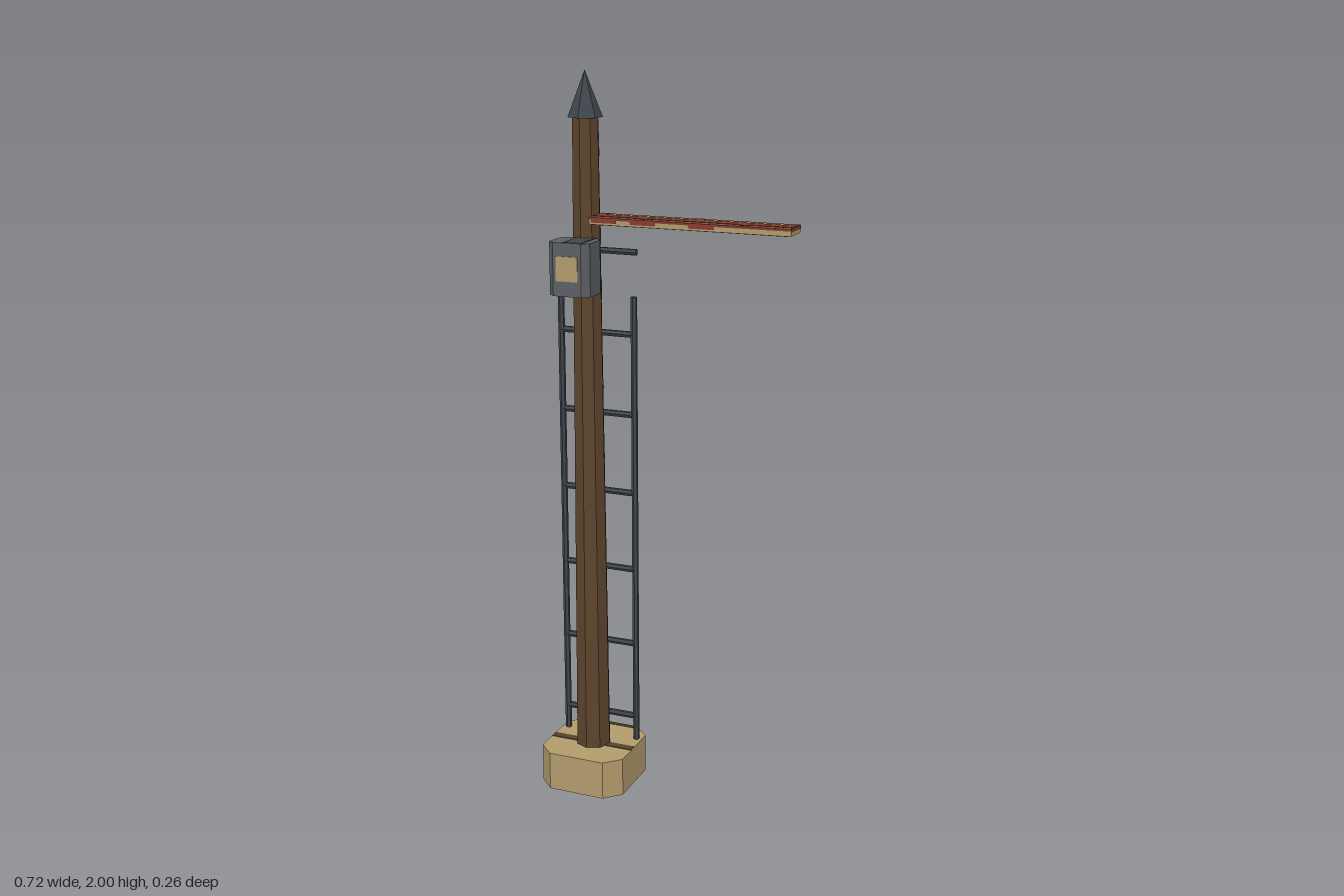
import * as THREE from 'three';

const mat = (name, color, extra = {}) => Object.assign(new THREE.MeshStandardMaterial({ color, ...extra }), { name });

export function createModel() {
  const group = new THREE.Group();
  const tan = mat('tan stone', 0xb39c6c);
  const wood = mat('brown wood', 0x5c442d, { flatShading: true });
  const darkWood = mat('dark wood', 0x54432f);
  const iron = mat('dark iron', 0x3f464c, { flatShading: true });
  const grey = mat('grey metal', 0x5c6064);
  const red = mat('red paint', 0x873a2e);

  const add = (name, geometry, material, x, y, z, parent = group) => {
    const m = new THREE.Mesh(geometry, material);
    m.name = name;
    m.position.set(x, y, z);
    parent.add(m);
    return m;
  };
  const box = (name, material, x0, x1, y0, y1, z0, z1, parent) =>
    add(name, new THREE.BoxGeometry(x1 - x0, y1 - y0, z1 - z0), material,
      (x0 + x1) / 2, (y0 + y1) / 2, (z0 + z1) / 2, parent);

  // Upright block with cut corners
  const block = (w, d, h, c) => {
    const a = w / 2, b = d / 2;
    const s = new THREE.Shape([
      [-a + c, -b], [a - c, -b], [a, -b + c], [a, b - c],
      [a - c, b], [-a + c, b], [-a, b - c], [-a, -b + c],
    ].map(p => new THREE.Vector2(...p)));
    return new THREE.ExtrudeGeometry(s, { depth: h, bevelEnabled: false }).rotateX(-Math.PI / 2);
  };

  const PX = -0.235, Y0 = 0.11, Y1 = 1.88, R0 = 0.05, R1 = 0.036;

  // Footing with its top seams
  add('footing', block(0.25, 0.25, 0.11, 0.043), tan, PX, 0, -0.004);
  box('footingSeam', darkWood, -0.359, -0.111, 0.109, 0.112, -0.005, 0.018);
  box('footingBackSeam', darkWood, -0.316, -0.154, 0.109, 0.112, -0.129, -0.118);

  // Tapered post and pointed cap
  add('post', new THREE.CylinderGeometry(R1, R0, Y1 - Y0, 8), wood, PX, (Y0 + Y1) / 2, 0);
  add('cap', new THREE.ConeGeometry(0.046, 0.12, 6), iron, PX, 1.94, 0);

  // Worn grey patches on the back: height, size, first facet, facet count
  const radius = y => THREE.MathUtils.lerp(R0, R1, (y - Y0) / (Y1 - Y0)) + 0.0012;
  const patches = [
    [1.81, 0.06, 2, 1], [1.74, 0.05, 4, 2], [1.66, 0.05, 3, 1], [1.57, 0.04, 2, 1],
    [1.43, 0.06, 2, 1], [1.49, 0.05, 4, 1], [1.30, 0.04, 3, 1], [1.18, 0.045, 4, 2],
    [1.17, 0.03, 2, 2], [0.95, 0.04, 4, 2], [0.96, 0.03, 2, 1], [0.78, 0.04, 3, 1],
    [0.36, 0.025, 4, 1],
  ];
  for (const [y, h, k, n] of patches) {
    add('wornPatch', new THREE.CylinderGeometry(radius(y + h / 2), radius(y - h / 2), h, n, 1, true,
      k * Math.PI / 4, n * Math.PI / 4), grey, PX, y, 0);
  }

  // Ladder behind the post
  const ladder = new THREE.Group();
  ladder.name = 'ladder';
  group.add(ladder);
  for (const s of [-1, 1]) {
    add('rail', new THREE.CylinderGeometry(0.009, 0.009, 1.295, 6), iron, PX + s * 0.108, 0.7575, -0.06, ladder);
  }
  for (let i = 0; i < 7; i++) {
    add('rung', new THREE.CylinderGeometry(0.009, 0.009, i === 6 ? 0.232 : 0.216, 6), iron,
      PX, 0.18 + i * 0.2242, -0.062, ladder).rotation.z = Math.PI / 2;
  }

  // Lantern box
  const lantern = new THREE.Group();
  lantern.name = 'lantern';
  group.add(lantern);
  add('lanternBody', block(0.116, 0.1, 0.14, 0.018), grey, PX, 1.43, 0.075, lantern);
  box('lanternTopShade', iron, -0.247, -0.196, 1.569, 1.572, 0.03, 0.124, lantern);
  box('lanternWindow', tan, -0.266, -0.204, 1.47, 1.535, 0.122, 0.127, lantern);

  // Signal arm with painted stripes
  const arm = new THREE.Group();
  arm.name = 'signalArm';
  group.add(arm);
  box('armBoard', tan, -0.19, 0.357, 1.616, 1.634, 0.005, 0.083, arm);
  box('armStripe', red, -0.19, 0.357, 1.632, 1.636, 0.029, 0.062, arm);
  for (const [x, z0, z1] of [[-0.176, 0.006, 0.03], [0.094, 0.006, 0.03], [-0.042, 0.06, 0.072], [0.229, 0.06, 0.072]]) {
    box('stripeNotch', red, x - 0.011, x + 0.011, 1.632, 1.636, z0, z1, arm);
  }
  box('armUnderside', darkWood, -0.183, 0.35, 1.614, 1.618, 0.014, 0.074, arm);
  box('armEnd', red, 0.353, 0.358, 1.626, 1.635, 0.006, 0.082, arm);
  // Edge paint, front and back
  for (const z of [0.005, 0.083]) {
    box('edgeLine', red, -0.19, 0.357, 1.629, 1.635, z - 0.001, z + 0.001, arm);
    for (const x of [-0.15, -0.04, 0.12]) {
      box('edgeMark', red, x - 0.035, x + 0.035, 1.621, 1.63, z - 0.001, z + 0.001, arm);
    }
  }
  return group;
}
